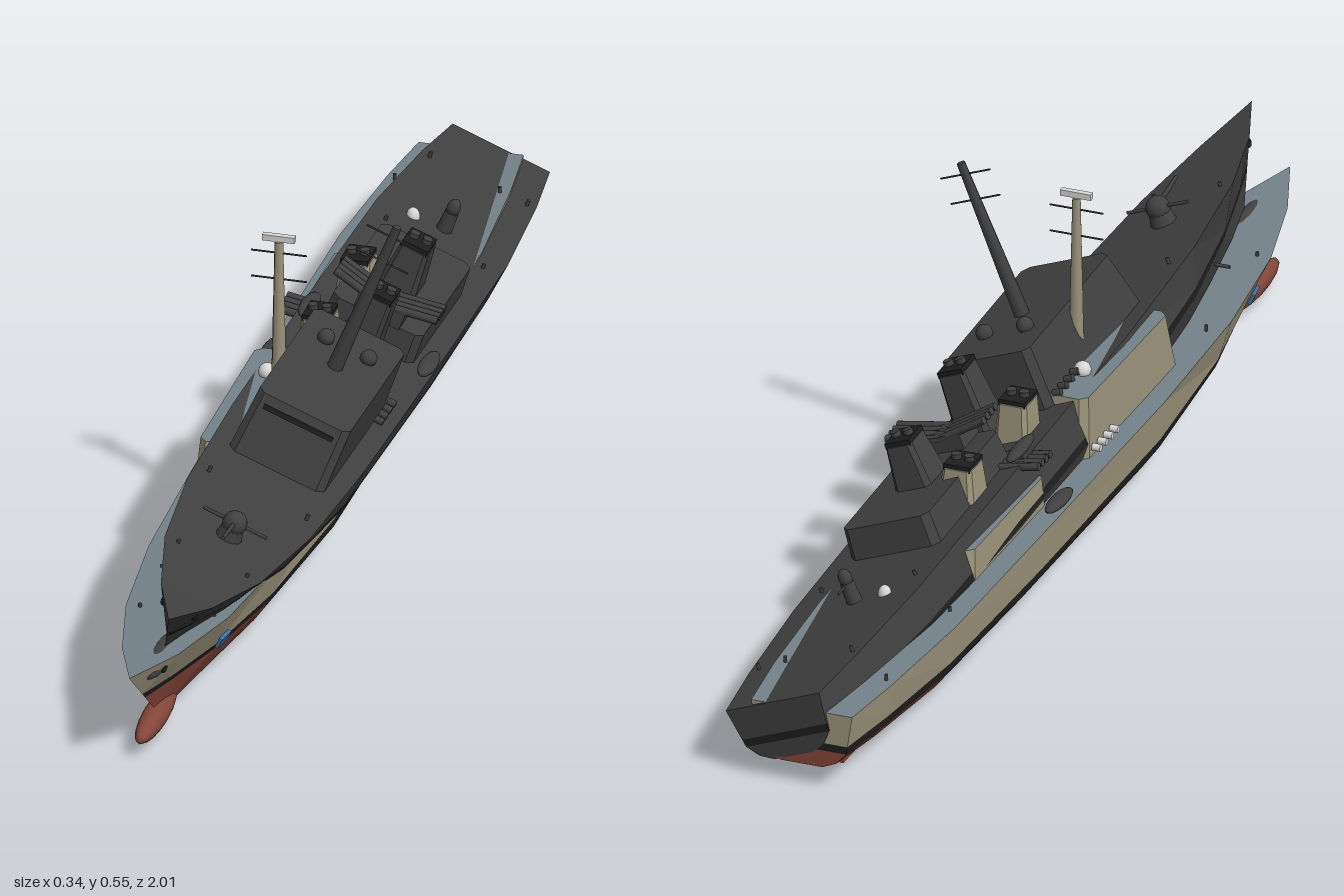
import * as THREE from 'three';

const mat = (name, color, side = THREE.FrontSide) => {
  const m = new THREE.MeshStandardMaterial({ color, side });
  m.name = name;
  return m;
};
const tan = mat('warm grey paint', 0x9c947c);
const deckGrey = mat('deck grey', 0x74828a);
const red = mat('underwater red', 0x84463a);
const black = mat('boot stripe black', 0x1e1e1e);
const dark = mat('charcoal', 0x404040);
const white = mat('white fittings', 0xd8d8d6);
const blue = mat('blue mark', 0x3a6ea5);

// Hull stations: deck z, then half width and height at deck, stripe, bilge and keel, then bow rake
const STATIONS = [
  [1.0, 0, 0.167, 0, 0.09, 0, 0.045, 0, 0.03, 0.2],
  [0.88, 0.045, 0.157, 0.02, 0.082, 0.012, 0.035, 0.005, 0.018, 0.13],
  [0.72, 0.083, 0.15, 0.053, 0.076, 0.03, 0.028, 0.012, 0.006, 0.08],
  [0.5, 0.107, 0.144, 0.087, 0.069, 0.056, 0.024, 0.02, 0, 0.03],
  [0.2, 0.116, 0.139, 0.109, 0.062, 0.08, 0.022, 0.033, 0, 0],
  [-0.3, 0.117, 0.137, 0.112, 0.06, 0.083, 0.022, 0.036, 0, 0],
  [-0.65, 0.115, 0.134, 0.108, 0.06, 0.08, 0.024, 0.035, 0.004, 0],
  [-0.87, 0.1, 0.132, 0.09, 0.062, 0.068, 0.035, 0.035, 0.02, 0],
  [-1.0, 0.085, 0.13, 0.075, 0.064, 0.058, 0.045, 0.035, 0.035, 0],
];

// Section points from keel centre round the side to deck centre
function section([z, wd, yd, ws, ys, wb, yb, wk, yk, rake]) {
  const f = 0.013 / (yd - ys);
  const pts = [[0, yk], [wk, yk], [wb, yb], [ws, ys], [ws + (wd - ws) * f, ys + 0.013], [wd, yd], [0, yd]];
  return pts.map(([x, y]) => [x, y, z - rake * (1 - y / yd)]);
}

// One strip of hull between two section points, on both sides and across the transom
function hullBand(from, to) {
  const s = STATIONS.map(section), pos = [];
  const quad = (...q) => {
    for (const k of [0, 1, 2, 0, 2, 3]) pos.push(...q[k]);
    for (const k of [0, 2, 1, 0, 3, 2]) pos.push(-q[k][0], q[k][1], q[k][2]);
  };
  for (let j = from; j < to; j++) {
    for (let i = 0; i < s.length - 1; i++) quad(s[i][j], s[i + 1][j], s[i + 1][j + 1], s[i][j + 1]);
    const a = s[s.length - 1][j], b = s[s.length - 1][j + 1];
    quad([0, a[1], a[2]], [0, b[1], b[2]], b, a);
  }
  const g = new THREE.BufferGeometry();
  g.setAttribute('position', new THREE.Float32BufferAttribute(pos, 3));
  g.computeVertexNormals();
  return g;
}

// Deckhouse with cut corners, narrowing upward, with raked front and back
function house(w, z0, z1, y0, y1, taper, rakeFront, rakeBack, c = 0.012) {
  const a = w / 2, shape = new THREE.Shape();
  const corners = [[-a + c, -z1], [a - c, -z1], [a, -z1 + c], [a, -z0 - c], [a - c, -z0], [-a + c, -z0], [-a, -z0 - c], [-a, -z1 + c]];
  shape.setFromPoints(corners.map(([x, y]) => new THREE.Vector2(x, y)));
  const g = new THREE.ExtrudeGeometry(shape, { depth: y1 - y0, bevelEnabled: false });
  g.rotateX(-Math.PI / 2).translate(0, y0, 0);
  const p = g.attributes.position, mid = (z0 + z1) / 2;
  for (let i = 0; i < p.count; i++) {
    if (p.getY(i) < y1 - 1e-4) continue;
    p.setX(i, p.getX(i) * taper);
    p.setZ(i, p.getZ(i) + (p.getZ(i) > mid ? -rakeFront : rakeBack));
  }
  g.computeVertexNormals();
  return g;
}

function buildShip(name, c, lit) {
  const ship = new THREE.Group();
  ship.name = name;
  const add = (part, geo, material, x = 0, y = 0, z = 0, rx = 0, ry = 0, rz = 0) => {
    const m = new THREE.Mesh(geo, material);
    m.name = part;
    m.position.set(x, y, z);
    m.rotation.set(rx, ry, rz);
    ship.add(m);
    return m;
  };
  const box = (w, h, d) => new THREE.BoxGeometry(w, h, d);
  const cyl = (r1, r2, h, n = 12) => new THREE.CylinderGeometry(r1, r2, h, n);
  const ball = (r) => new THREE.SphereGeometry(r, 16, 10);

  // Hull
  add('hullBottom', hullBand(0, 3), c.bottom);
  add('bootStripe', hullBand(3, 4), black);
  add('hullSides', hullBand(4, 5), c.side);
  add('mainDeck', hullBand(5, 6), c.deck);
  add('bowBulb', ball(0.02), c.bottom, 0, 0.03, 0.845).scale.z = 5;

  // Deckhouses
  add('bridgeHouse', house(0.166, -0.035, 0.345, 0.13, 0.24, 0.95, 0.035, 0.006), [c.deck, c.side]);
  add('bridgeWindows', box(0.12, 0.008, 0.006), black, 0, 0.222, 0.316, -0.31);
  add('aftHouse', house(0.164, -0.5, -0.19, 0.125, 0.186, 0.95, 0.004, 0.008), [c.deck, c.side]);

  // Funnels with dark caps
  for (const [z, y0, y1] of [[-0.115, 0.13, 0.268], [-0.34, 0.18, 0.258]]) {
    add('funnel', house(0.066, z - 0.038, z + 0.038, y0, y1, 0.72, 0.008, 0.008, 0.008), [c.side, c.side]);
    add('funnelCap', box(0.044, 0.01, 0.054), black, 0, y1 + 0.002, z);
    for (const s of [-1, 1]) add('exhaustPipe', cyl(0.008, 0.008, 0.012), dark, s * 0.011, y1 + 0.009, z);
  }

  // Launch tubes lying across the ship
  for (let i = 0; i < 4; i++) {
    for (const s of [-1, 1]) {
      add('launchTube', cyl(0.0065, 0.0065, 0.09), dark, s * 0.045, 0.216, -0.197 - i * 0.016, 0, 0, Math.PI / 2 + s * 0.2);
    }
  }
  add('launcherBase', box(0.08, 0.03, 0.06), dark, 0, 0.198, -0.221);

  // Mast with two yards
  add('mast', cyl(0.007, 0.013, 0.27, 8), c.side, 0, 0.373, 0.125);
  for (const y of [0.443, 0.488]) add('yard', cyl(0.0015, 0.0015, 0.09, 6), dark, 0, y, 0.125, 0, 0, Math.PI / 2);
  if (lit) add('radarBar', box(0.052, 0.01, 0.01), white, 0, 0.514, 0.125);

  // Mirrored fittings
  for (const s of [-1, 1]) {
    add('radarDome', ball(0.014), c.fitting, s * 0.037, 0.246, 0.06);
    add('boat', ball(0.014), dark, s * 0.104, 0.149, -0.2).scale.set(1, 0.65, 3.4);
    add('rudder', box(0.006, 0.036, 0.06), c.bottom, s * 0.03, 0.019, -0.88);
    add('anchor', ball(0.009), black, s * 0.027, 0.141, 0.897).scale.set(0.6, 1, 1);
    if (lit) add('bowMark', box(0.006, 0.018, 0.035), blue, s * 0.066, 0.096, 0.69, 0, -s * 0.16, -s * 0.42);
    for (let i = 0; i < 4; i++) {
      add('lifeRaft', cyl(0.006, 0.006, 0.014), c.fitting, s * 0.092, 0.155, -0.015 + i * 0.024, 0, 0, Math.PI / 2);
    }
    for (const z of [0.72, 0.45, -0.6, -0.86]) {
      add('bollard', cyl(0.003, 0.003, 0.01, 8), dark, s * (z > 0.6 ? 0.06 : 0.085), z > 0 ? 0.151 : 0.137, z);
    }
  }

  // Foredeck gun
  add('gunBase', cyl(0.018, 0.022, 0.02), dark, 0, 0.155, 0.62);
  add('gunTurret', ball(0.02), dark, 0, 0.173, 0.62);
  add('gunBarrel', cyl(0.003, 0.004, 0.08, 8), dark, 0, 0.18, 0.665, Math.PI / 2 - 0.1);
  add('gunCrossbar', cyl(0.003, 0.003, 0.11, 8), dark, 0, 0.174, 0.62, 0, 0, Math.PI / 2);

  // Aft close-range gun
  add('aftGunBase', cyl(0.011, 0.013, 0.035), c.fitting, 0, 0.15, -0.66);
  add('aftGunDome', ball(0.011), c.fitting, 0, 0.175, -0.66).scale.y = 1.4;
  add('aftGunBarrel', cyl(0.002, 0.002, 0.03, 6), dark, 0, 0.165, -0.682, Math.PI / 2);
  return ship;
}

export function createModel() {
  const model = new THREE.Group();
  model.name = 'pairOfShips';

  const upright = buildShip('paintedShip', { side: tan, deck: deckGrey, bottom: red, fitting: white }, true);
  upright.position.set(-0.055, 0, 0);

  // Second hull, heeled to its left with the bow raised
  const heeled = buildShip('heeledShip', { side: dark, deck: dark, bottom: dark, fitting: dark }, false);
  heeled.position.set(-0.055, 0.066, 0);
  heeled.rotation.set(-0.052, 0, -0.372);

  model.add(upright, heeled);
  return model;
}
